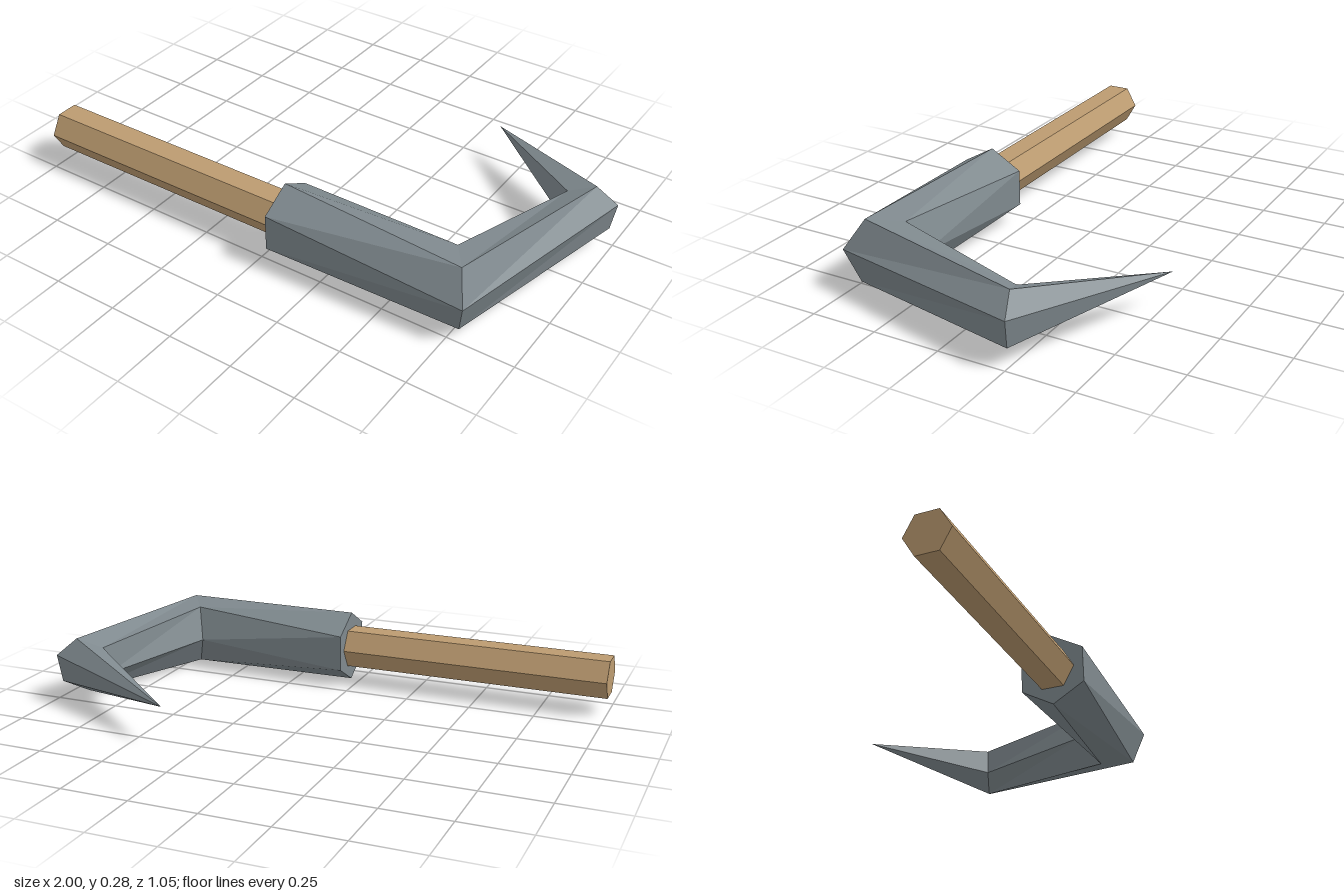
import * as THREE from 'three';

const SIDES = 6;

// Six corners around a centre; 'out' is the ring's horizontal axis, listed clockwise from 'start' degrees
function ring(center, radius, out, start) {
  const c = new THREE.Vector3(...center);
  const h = new THREE.Vector3(...out).normalize();
  return Array.from({ length: SIDES }, (_, k) => {
    const a = THREE.MathUtils.degToRad(start - 60 * k);
    return c.clone().addScaledVector(h, radius * Math.cos(a)).add(new THREE.Vector3(0, radius * Math.sin(a), 0));
  });
}

// Twisted faceted skin through the rings, capped at the start and pointed at the tip
function hookGeometry(rings, tip) {
  const points = [];
  const tri = (a, b, c) => points.push(a, b, c);
  for (let k = 0; k < SIDES; k++) {
    const n = (k + 1) % SIDES;
    for (let i = 0; i < rings.length - 1; i++) {
      const a = rings[i], b = rings[i + 1];
      tri(a[k], a[n], b[n]);
      tri(a[k], b[n], b[k]);
    }
    const last = rings[rings.length - 1];
    tri(last[k], last[n], tip);
    if (k > 0 && k < SIDES - 1) tri(rings[0][0], rings[0][n], rings[0][k]);
  }
  const geometry = new THREE.BufferGeometry().setFromPoints(points);
  geometry.computeVertexNormals();
  return geometry;
}

export function createModel() {
  const wood = new THREE.MeshStandardMaterial({ color: 0xbc9b70, flatShading: true });
  wood.name = 'wood';
  const metal = new THREE.MeshStandardMaterial({ color: 0x7f898e, flatShading: true });
  metal.name = 'metal';

  const group = new THREE.Group();
  group.name = 'hook';

  // Hexagonal handle, running into the socket
  const handle = new THREE.Mesh(new THREE.CylinderGeometry(0.084, 0.084, 1.08, SIDES), wood);
  handle.name = 'handle';
  handle.rotation.z = Math.PI / 2;
  handle.position.set(-0.46, 0.14, 0.405);
  group.add(handle);

  // Socket, two bends and the pointed end of the hook
  const rings = [
    ring([0.04, 0.14, 0.405], 0.138, [0, 0, 1], 90),
    ring([0.733, 0.14, 0.404], 0.137, [0.567, 0, 0.816], 126.5),
    ring([0.905, 0.14, -0.22], 0.1055, [0.938, 0, -0.346], 200),
  ];
  const hook = new THREE.Mesh(hookGeometry(rings, new THREE.Vector3(0.39, 0.14, -0.527)), metal);
  hook.name = 'hookHead';
  group.add(hook);

  return group;
}
